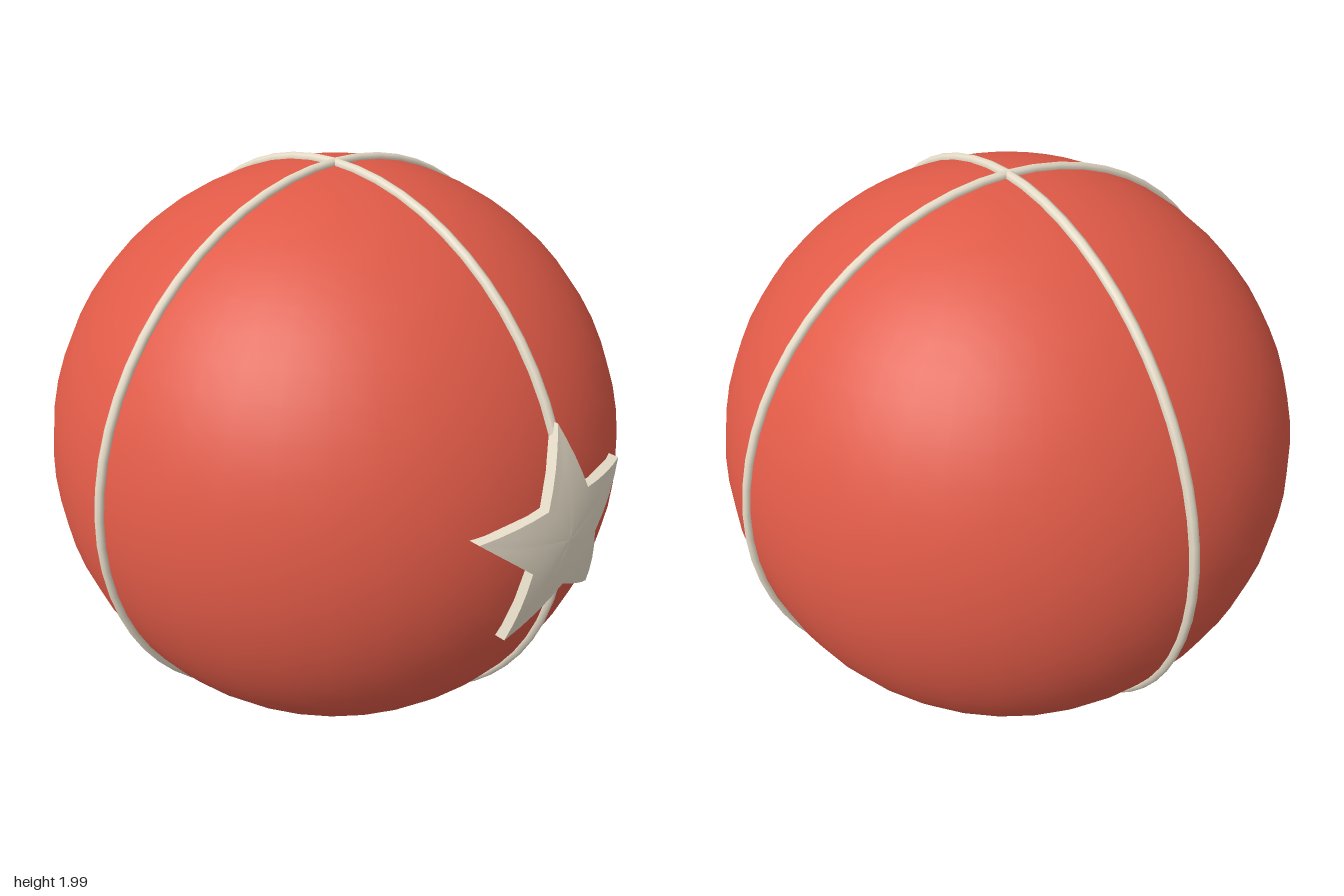
import * as THREE from 'three';

const BALL_RADIUS = 0.976;
const STAR_RADIUS = 1.005;

// Point on the outline of a five-pointed star, u running from 0 to 10 corners
function starPoint(u) {
  const corner = (k) => {
    const r = k % 2 ? 0.165 : 0.36;
    const a = Math.PI / 2 + (k * Math.PI) / 5;
    return new THREE.Vector2(r * Math.cos(a), r * Math.sin(a));
  };
  const k = Math.floor(u);
  return corner(k).lerp(corner(k + 1), u - k);
}

// Grid of concentric star outlines, each with its scale and its distance from the ball centre
function starShell(rings, steps) {
  const count = 10 * steps;
  const positions = [];
  const index = [];
  for (const [scale, radius] of rings) {
    for (let j = 0; j <= count; j++) {
      const p = starPoint((j % count) / steps).multiplyScalar(scale);
      p.y += 0.055;
      // The same x and y are kept through the thickness, so the walls run straight back
      positions.push(p.x, p.y, Math.sqrt(radius * radius - p.lengthSq()));
    }
  }
  const row = count + 1;
  for (let i = 0; i < rings.length - 1; i++) {
    for (let j = 0; j < count; j++) {
      const a = i * row + j;
      const b = a + row;
      if (rings[i][0] > 0) index.push(a, b, a + 1);
      index.push(b, b + 1, a + 1);
    }
  }
  const geometry = new THREE.BufferGeometry();
  geometry.setAttribute('position', new THREE.Float32BufferAttribute(positions, 3));
  geometry.setIndex(index);
  geometry.computeVertexNormals();
  return geometry;
}

export function createModel() {
  const red = new THREE.MeshStandardMaterial({ color: 0xe05a47 });
  red.name = 'ballRed';
  const cream = new THREE.MeshStandardMaterial({ color: 0xe6dcc8 });
  cream.name = 'trimCream';

  const model = new THREE.Group();
  model.name = 'starBall';
  const add = (parent, name, geometry, material) => {
    const mesh = new THREE.Mesh(geometry, material);
    mesh.name = name;
    parent.add(mesh);
    return mesh;
  };

  // Ball body
  add(model, 'ball', new THREE.SphereGeometry(BALL_RADIUS, 40, 32), red);

  // Two upright seams crossing at the poles
  for (const [name, turn] of [['sideSeam', 0], ['frontSeam', Math.PI / 2]]) {
    add(model, name, new THREE.TorusGeometry(0.977, 0.0175, 8, 64), cream).rotation.y = turn;
  }

  // Raised star wrapped over the front: curved face and edge wall
  const star = new THREE.Group();
  star.name = 'star';
  model.add(star);
  const faceRings = [0, 0.25, 0.5, 0.75, 1].map((s) => [s, STAR_RADIUS]);
  add(star, 'starFace', starShell(faceRings, 4), cream);
  const wall = starShell([[1, STAR_RADIUS], [1, 0.968]], 4).toNonIndexed();
  wall.computeVertexNormals();
  add(star, 'starEdge', wall, cream);

  model.position.set(0, 0.9945, -0.005);
  const root = new THREE.Group();
  root.name = 'ballModel';
  root.add(model);
  return root;
}
